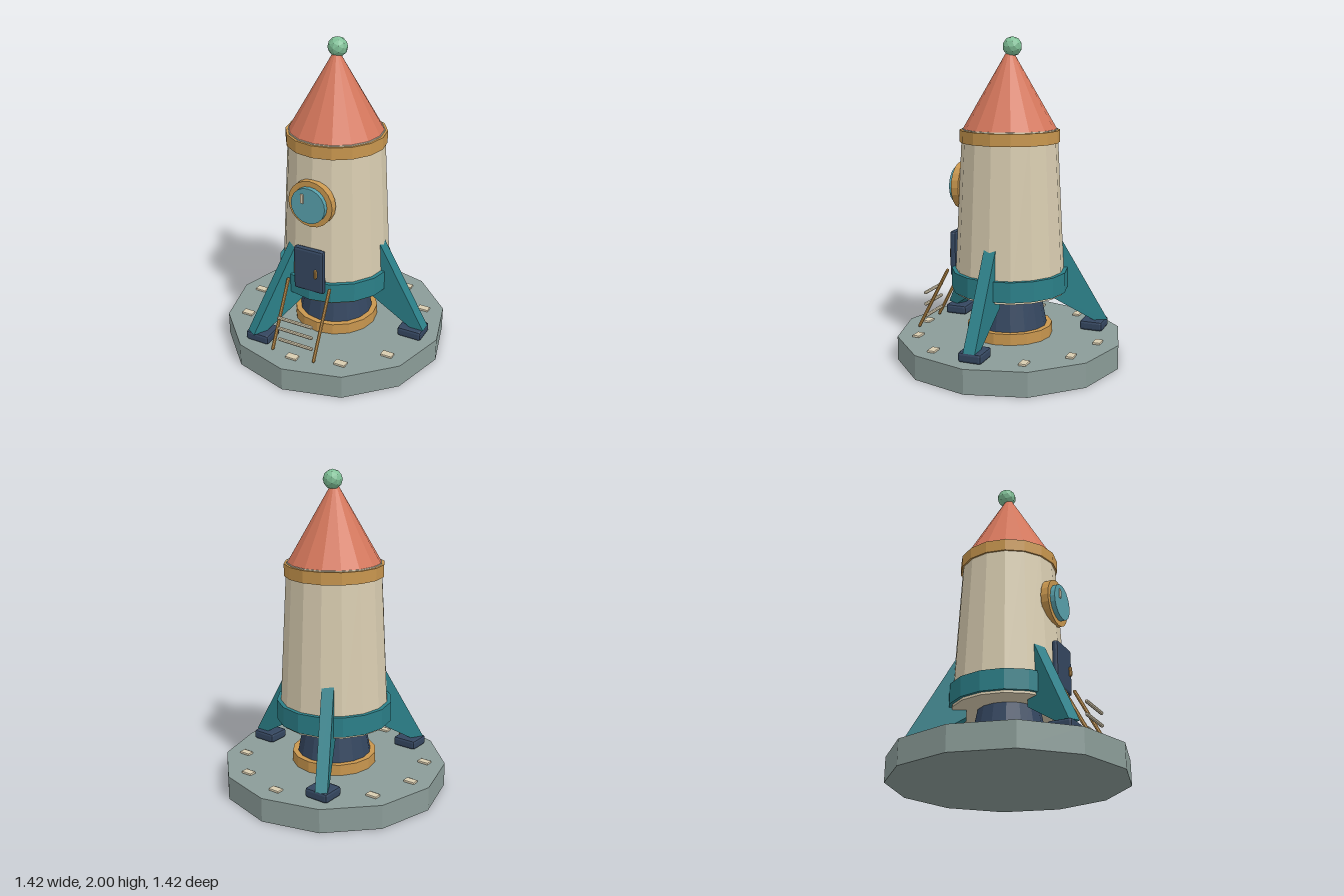
import * as THREE from 'three';
import { RoundedBoxGeometry } from 'three/addons/geometries/RoundedBoxGeometry.js';

const material = (name, color) => {
  const m = new THREE.MeshStandardMaterial({ color });
  m.name = name;
  return m;
};

export function createModel() {
  const model = new THREE.Group();
  model.name = 'rocket';

  const stone = material('stone grey', 0x8b9c98);
  const cream = material('cream', 0xd8ccb0);
  const coral = material('coral', 0xd5775c);
  const gold = material('gold', 0xc8964e);
  const teal = material('teal', 0x2b7f88);
  const navy = material('navy', 0x34465f);
  const glass = material('glass blue', 0x58a0ab);
  const green = material('mint green', 0x80c097);

  // Facets every geometry and adds it as a named part
  const add = (name, geometry, mat, x = 0, y = 0, z = 0, parent = model) => {
    const flat = geometry.index ? geometry.toNonIndexed() : geometry;
    flat.computeVertexNormals();
    const mesh = new THREE.Mesh(flat, mat);
    mesh.name = name;
    mesh.position.set(x, y, z);
    parent.add(mesh);
    return mesh;
  };
  // Upright frustum between two heights
  const drum = (name, rTop, rBottom, y0, y1, mat, sides = 16) =>
    add(name, new THREE.CylinderGeometry(rTop, rBottom, y1 - y0, sides), mat, 0, (y0 + y1) / 2, 0);
  const block = (w, h, d, bevel) => new RoundedBoxGeometry(w, h, d, 1, bevel);

  // Launch pad with marker tiles, left out where the feet stand
  drum('launchPad', 0.71, 0.71, 0, 0.15, stone, 12);
  for (let i = 0; i < 12; i++) {
    if (i % 4 === 0) continue;
    const a = (i * Math.PI) / 6;
    add('padTile', block(0.075, 0.016, 0.048, 0.005), cream, 0.58 * Math.cos(a), 0.155, 0.58 * Math.sin(a));
  }

  // Engine, hull and nose
  drum('engineBase', 0.268, 0.268, 0.15, 0.22, gold);
  drum('engineBell', 0.19, 0.235, 0.21, 0.44, navy);
  drum('hull', 0.293, 0.346, 0.43, 1.447, cream);
  drum('lowerBand', 0.364, 0.364, 0.445, 0.57, teal);
  drum('upperBand', 0.308, 0.308, 1.365, 1.44, gold);
  drum('noseCone', 0.008, 0.287, 1.447, 1.93, coral);
  add('noseBall', new THREE.IcosahedronGeometry(0.06, 1), green, 0, 1.94, -0.016);

  // Three fins, each standing on a square foot
  const outline = new THREE.Shape([
    [0.25, 0.385], [0.54, 0.212], [0.63, 0.212], [0.305, 0.78], [0.25, 0.7],
  ].map(([x, y]) => new THREE.Vector2(x, y)));
  for (let i = 0; i < 3; i++) {
    const a = (i * 2 * Math.PI) / 3;
    const finGeometry = new THREE.ExtrudeGeometry(outline, { depth: 0.074, bevelEnabled: false });
    finGeometry.translate(0, 0, -0.037);
    add('fin', finGeometry, teal).rotation.y = -a;
    add('foot', block(0.16, 0.062, 0.148, 0.016), navy, 0.548 * Math.cos(a), 0.183, 0.548 * Math.sin(a));
  }

  // Porthole facing the front
  const porthole = new THREE.Group();
  porthole.name = 'porthole';
  porthole.position.y = 1.08;
  model.add(porthole);
  const disc = (name, r, z0, z1, mat) => {
    const g = new THREE.CylinderGeometry(r, r, z1 - z0, 20).rotateX(Math.PI / 2);
    add(name, g, mat, 0, 0, (z0 + z1) / 2, porthole);
  };
  disc('portholeFrame', 0.147, 0.287, 0.334, gold);
  disc('portholeGlass', 0.113, 0.3, 0.363, glass);
  add('portholeGlint', block(0.02, 0.06, 0.016, 0.004), cream, -0.037, 0.042, 0.364, porthole);

  // Door and handle
  add('door', block(0.205, 0.29, 0.042, 0.016), navy, 0, 0.65, 0.349);
  add('doorHandle', new THREE.CapsuleGeometry(0.011, 0.04, 2, 8), gold, 0.055, 0.643, 0.38);

  // Ladder leaning on the hull
  const bottom = new THREE.Vector3(0, 0.165, 0.57);
  const top = new THREE.Vector3(0, 0.55, 0.366);
  const along = top.clone().sub(bottom);
  const middle = bottom.clone().lerp(top, 0.5);
  for (const side of [-1, 1]) {
    const rail = add('ladderRail', new THREE.CapsuleGeometry(0.011, along.length(), 2, 8), gold, side * 0.143, middle.y, middle.z);
    rail.quaternion.setFromUnitVectors(new THREE.Vector3(0, 1, 0), along.clone().normalize());
  }
  for (const y of [0.223, 0.302, 0.378]) {
    add('ladderRung', new THREE.CapsuleGeometry(0.011, 0.225, 2, 8).rotateZ(Math.PI / 2), cream, 0, y, 0.54);
  }

  return model;
}
